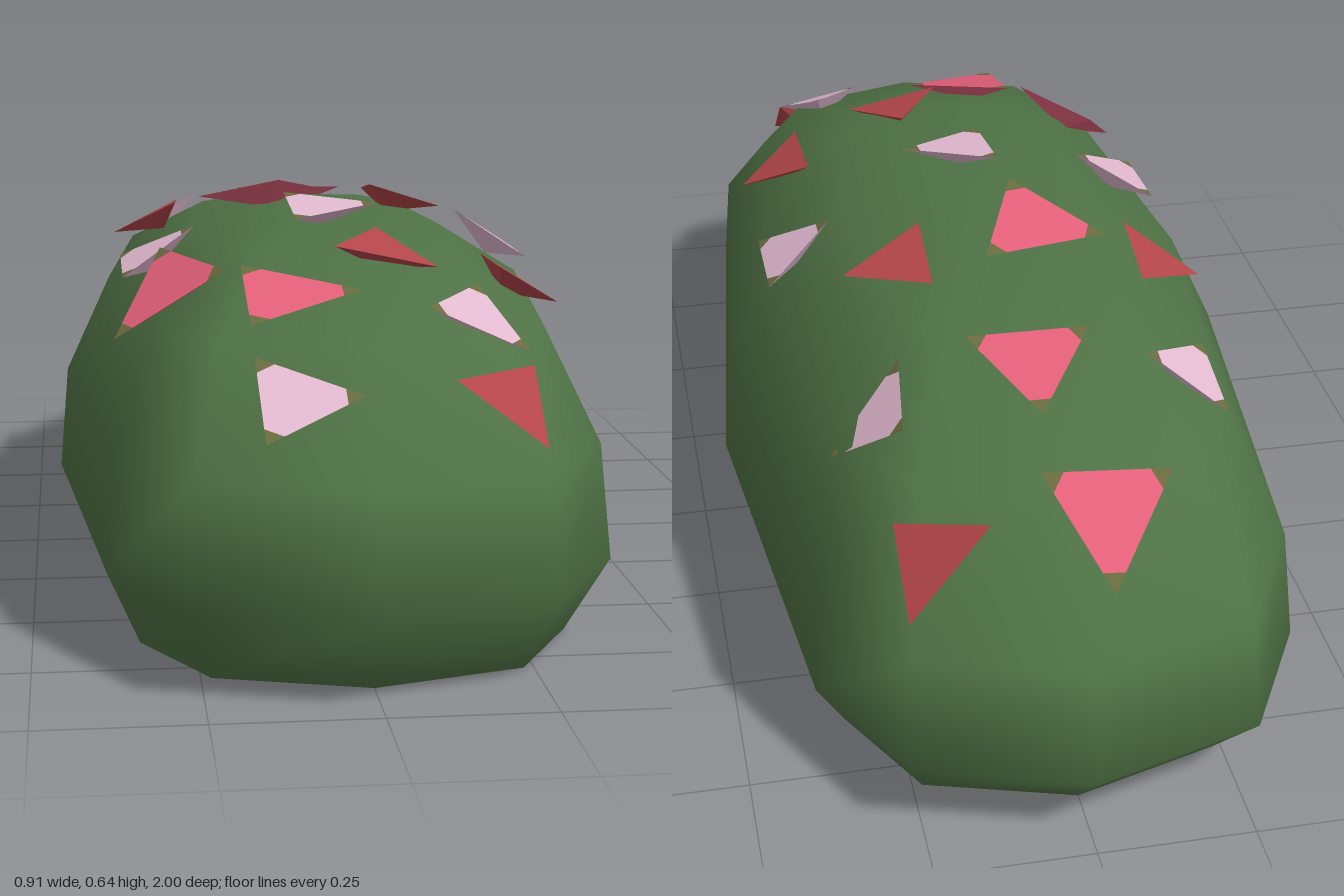
import * as THREE from 'three';

const mat = (name, color) => {
  const m = new THREE.MeshStandardMaterial({ color, side: THREE.DoubleSide });
  m.name = name;
  return m;
};

// Plan outline of the bush (x, z): right half from front to back, then mirrored
const half = [[0, 1], [0.27, 0.92], [0.385, 0.71], [0.455, 0], [0.385, -0.71], [0.27, -0.92]];
const outline = [...half, ...half.map(([x, z]) => [-x, -z])];

// Rings from the ground up: height, x scale, z scale
const rings = [
  [0, 0.868, 0.87], [0.14, 1, 1], [0.315, 0.967, 0.96],
  [0.48, 0.8, 0.745], [0.57, 0.48, 0.45],
];

// Hollow dome, open underneath
function bushGeometry() {
  const pos = [], index = [], n = outline.length;
  for (const [y, sx, sz] of rings)
    for (const [x, z] of outline) pos.push(x * sx, y, z * sz);
  pos.push(0, 0.605, 0);
  const top = rings.length * n;
  for (let r = 0; r < rings.length; r++)
    for (let i = 0; i < n; i++) {
      const j = (i + 1) % n, a = r * n + i, b = r * n + j;
      if (r === rings.length - 1) index.push(a, b, top);
      else index.push(a, b, b + n, a, b + n, a + n);
    }
  const g = new THREE.BufferGeometry();
  g.setAttribute('position', new THREE.Float32BufferAttribute(pos, 3));
  g.setIndex(index);
  g.computeVertexNormals();
  return g;
}

function facets(points, material, name) {
  const g = new THREE.BufferGeometry().setFromPoints(points);
  g.computeVertexNormals();
  const mesh = new THREE.Mesh(g, material);
  mesh.name = name;
  return mesh;
}

// Three-sided flower: flat top with leafy corners, tapering to a point in the bush
function makeFlower(corners, petal, tip, clip) {
  const p = corners.map((c) => new THREE.Vector3(...c));
  const normal = () => new THREE.Vector3().subVectors(p[1], p[0])
    .cross(new THREE.Vector3().subVectors(p[2], p[0])).normalize();
  if (normal().y < 0) p.reverse();
  const centre = new THREE.Vector3().add(p[0]).add(p[1]).add(p[2]).divideScalar(3);
  const apex = centre.clone().addScaledVector(normal(), -0.035);
  const face = [], under = [], tips = [];
  for (let i = 0; i < 3; i++) {
    const a = p[i], b = p[(i + 1) % 3], c = p[(i + 2) % 3];
    const ab = a.clone().lerp(b, clip), ac = a.clone().lerp(c, clip), ba = b.clone().lerp(a, clip);
    face.push(centre, ac, ab, centre, ab, ba);
    tips.push(a, ab, ac);
    under.push(apex, b, a);
  }
  const flower = new THREE.Group();
  flower.add(facets(face, petal, 'petals'), facets(under, petal, 'flowerBase'));
  if (clip > 0) flower.add(facets(tips, tip, 'leafTips'));
  return flower;
}

// Three corners (x, y, z) of every flower, by kind
const roses = [
  [[-0.04, 0.41, -0.9], [-0.16, 0.52, -0.755], [0.04, 0.53, -0.745]],
  [[0.01, 0.55, -0.62], [-0.105, 0.585, -0.435], [0.095, 0.585, -0.43]],
  [[-0.195, 0.6, -0.17], [0.02, 0.61, -0.225], [-0.06, 0.645, -0.025]],
  [[-0.285, 0.575, 0.315], [-0.365, 0.455, 0.49], [-0.19, 0.565, 0.505]],
  [[-0.165, 0.57, 0.49], [0.015, 0.545, 0.595], [-0.165, 0.51, 0.695]],
];
const reds = [
  [[0.13, 0.5, -0.82], [0.26, 0.37, -0.865], [0.26, 0.45, -0.72]],
  [[-0.35, 0.53, -0.215], [-0.23, 0.58, -0.295], [-0.24, 0.595, -0.125]],
  [[0.12, 0.6, -0.28], [0.255, 0.575, -0.185], [0.115, 0.625, -0.115]],
  [[0.07, 0.605, 0.325], [-0.015, 0.595, 0.47], [0.15, 0.56, 0.475]],
  [[0.255, 0.55, 0.27], [0.37, 0.48, 0.355], [0.26, 0.55, 0.42]],
  [[0.255, 0.45, 0.74], [0.13, 0.44, 0.79], [0.255, 0.35, 0.86]],
];
const pales = [
  [[-0.3, 0.49, -0.58], [-0.185, 0.565, -0.5], [-0.3, 0.52, -0.42]],
  [[0.225, 0.54, -0.61], [0.33, 0.45, -0.53], [0.205, 0.565, -0.445]],
  [[0.37, 0.515, -0.095], [0.255, 0.59, -0.015], [0.37, 0.515, 0.07]],
  [[-0.345, 0.53, 0.075], [-0.22, 0.59, 0.155], [-0.345, 0.515, 0.245]],
  [[-0.06, 0.635, 0.075], [0.095, 0.625, 0.16], [-0.055, 0.61, 0.25]],
  [[0.2, 0.545, 0.555], [0.11, 0.525, 0.65], [0.255, 0.465, 0.71]],
  [[-0.165, 0.475, 0.765], [-0.01, 0.43, 0.84], [-0.16, 0.375, 0.905]],
];

export function createModel() {
  const model = new THREE.Group();
  model.name = 'floweringBush';
  const leaf = mat('leaf green', 0x4f7245);
  const tip = mat('olive tip', 0x6b6b3f);

  const bush = new THREE.Mesh(bushGeometry(), leaf);
  bush.name = 'bush';
  model.add(bush);

  const kinds = [
    ['roseFlower', roses, mat('rose pink', 0xe4607a), 0.17],
    ['redFlower', reds, mat('brick red', 0xb4464a), 0],
    ['paleFlower', pales, mat('pale pink', 0xe2b9d0), 0.18],
  ];
  for (const [name, list, petal, clip] of kinds) {
    const group = new THREE.Group();
    group.name = name + 's';
    for (const corners of list) {
      const flower = makeFlower(corners, petal, tip, clip);
      flower.name = name;
      group.add(flower);
    }
    model.add(group);
  }
  return model;
}
